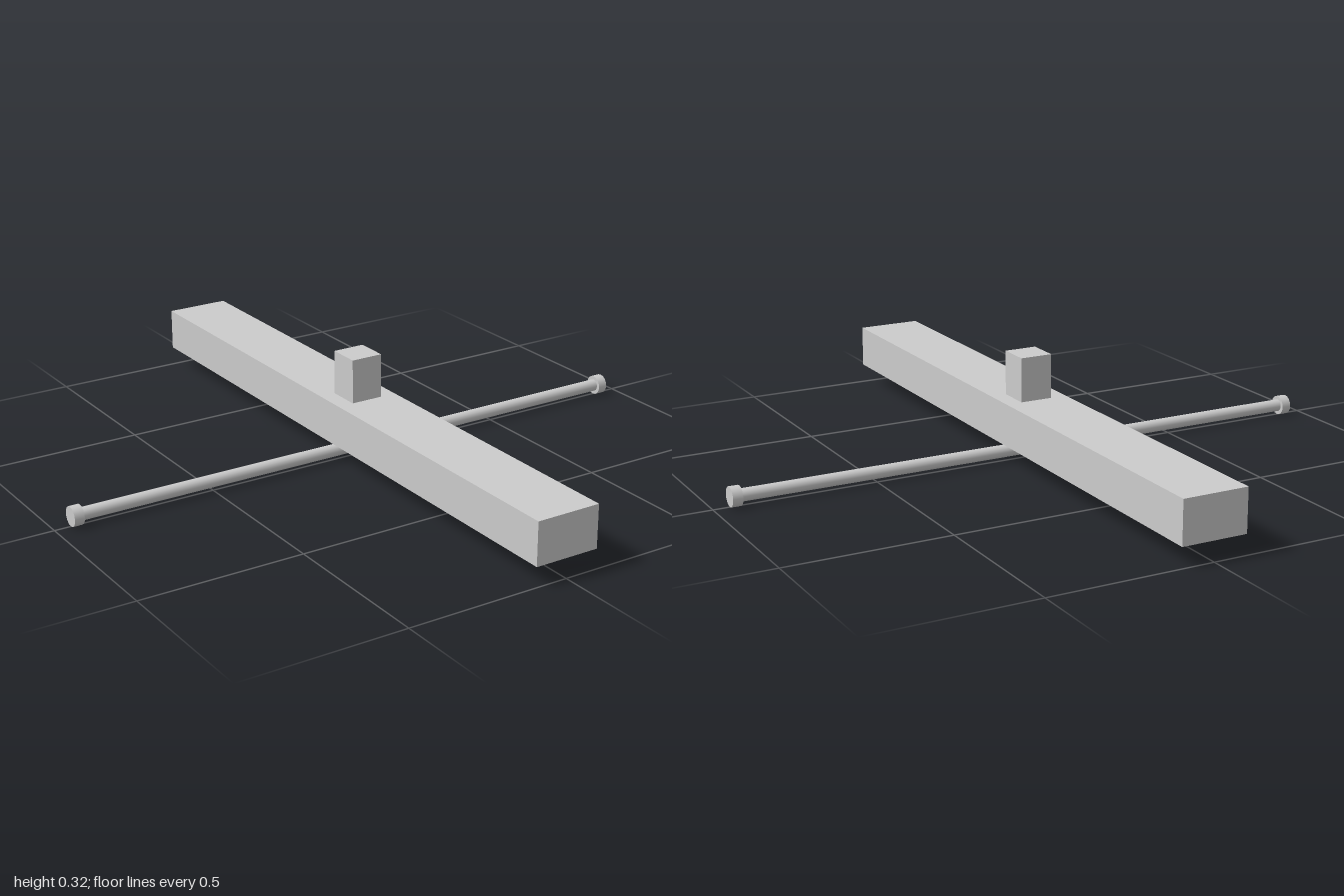
import * as THREE from 'three';

export function createModel() {
  const model = new THREE.Group();
  const material = new THREE.MeshStandardMaterial({ color: 0xcccccc });

  const add = (name, geometry, x, y, z) => {
    const mesh = new THREE.Mesh(geometry, material);
    mesh.name = name;
    mesh.position.set(x, y, z);
    model.add(mesh);
  };

  // Cylinder lying along x
  const bar = (radius, length) =>
    new THREE.CylinderGeometry(radius, radius, length, 16).rotateZ(Math.PI / 2);

  // Long beam from front to back, with a short square post on top
  add('beam', new THREE.BoxGeometry(0.2, 0.13, 2), 0, 0.125, 0);
  add('post', new THREE.BoxGeometry(0.1, 0.135, 0.1), 0, 0.2575, 0);

  // Cross rod under the beam, with a wider cap at each end
  add('crossRod', bar(0.019, 1.88), 0, 0.03, 0);
  for (const side of [-1, 1]) {
    add(side > 0 ? 'leftCap' : 'rightCap', bar(0.03, 0.03), side * 0.935, 0.03, 0);
  }

  return model;
}
